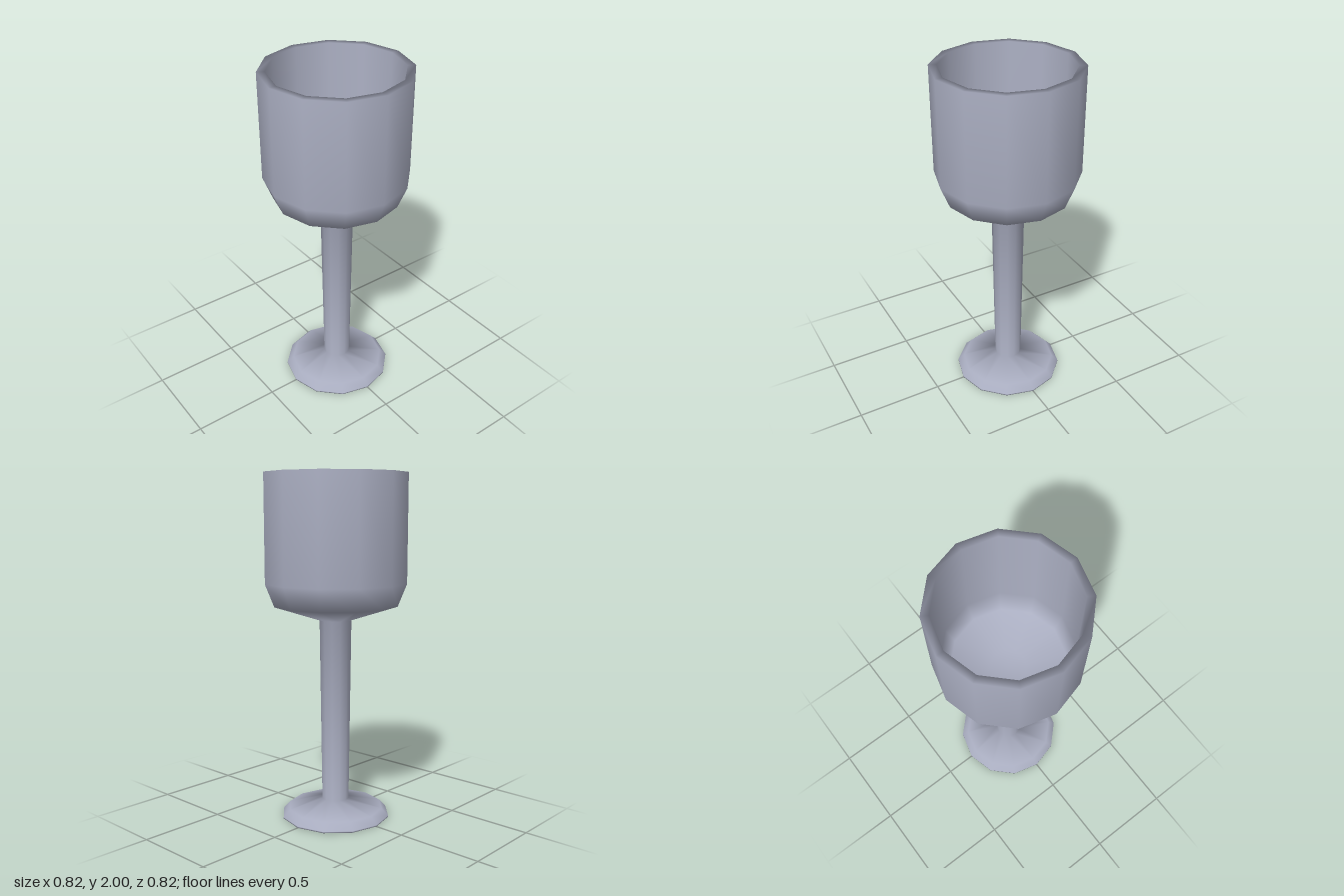
import * as THREE from 'three';

const SIDES = 12;

// Continuous profile (radius, height), from the underside of the foot to the inside of the bowl
const PROFILE = [
  [0, 0], [0.32, 0], [0.32, 0.008], [0.28, 0.05], [0.08, 0.1],   // foot
  [0.094, 1.17],                                                  // stem
  [0.36, 1.255], [0.412, 1.385], [0.412, 2],                      // bowl outside
  [0.368, 2], [0.368, 1.4], [0.32, 1.29], [0.1, 1.22], [0, 1.22], // rim and bowl inside
].map(([r, y]) => new THREE.Vector2(r, y));

// Lathe only the bands from..to, keeping the smooth normals of the whole profile
function latheBands(from, to) {
  const geometry = new THREE.LatheGeometry(PROFILE, SIDES);
  const count = PROFILE.length;
  const source = geometry.index.array;
  const kept = [];
  for (let i = 0; i < source.length; i += 6) {
    const band = (i / 6) % (count - 1);
    if (band >= from && band < to) kept.push(...source.slice(i, i + 6));
  }
  geometry.setIndex(kept);
  return geometry;
}

export function createModel() {
  const group = new THREE.Group();
  group.name = 'goblet';
  const metal = new THREE.MeshStandardMaterial({ color: 0xa9adc0 });
  metal.name = 'pale blue grey';

  const parts = { foot: [0, 4], stem: [4, 5], bowl: [5, 8], rim: [8, 9], bowlInside: [9, 13] };
  for (const [name, [from, to]] of Object.entries(parts)) {
    const mesh = new THREE.Mesh(latheBands(from, to), metal);
    mesh.name = name;
    group.add(mesh);
  }
  return group;
}
